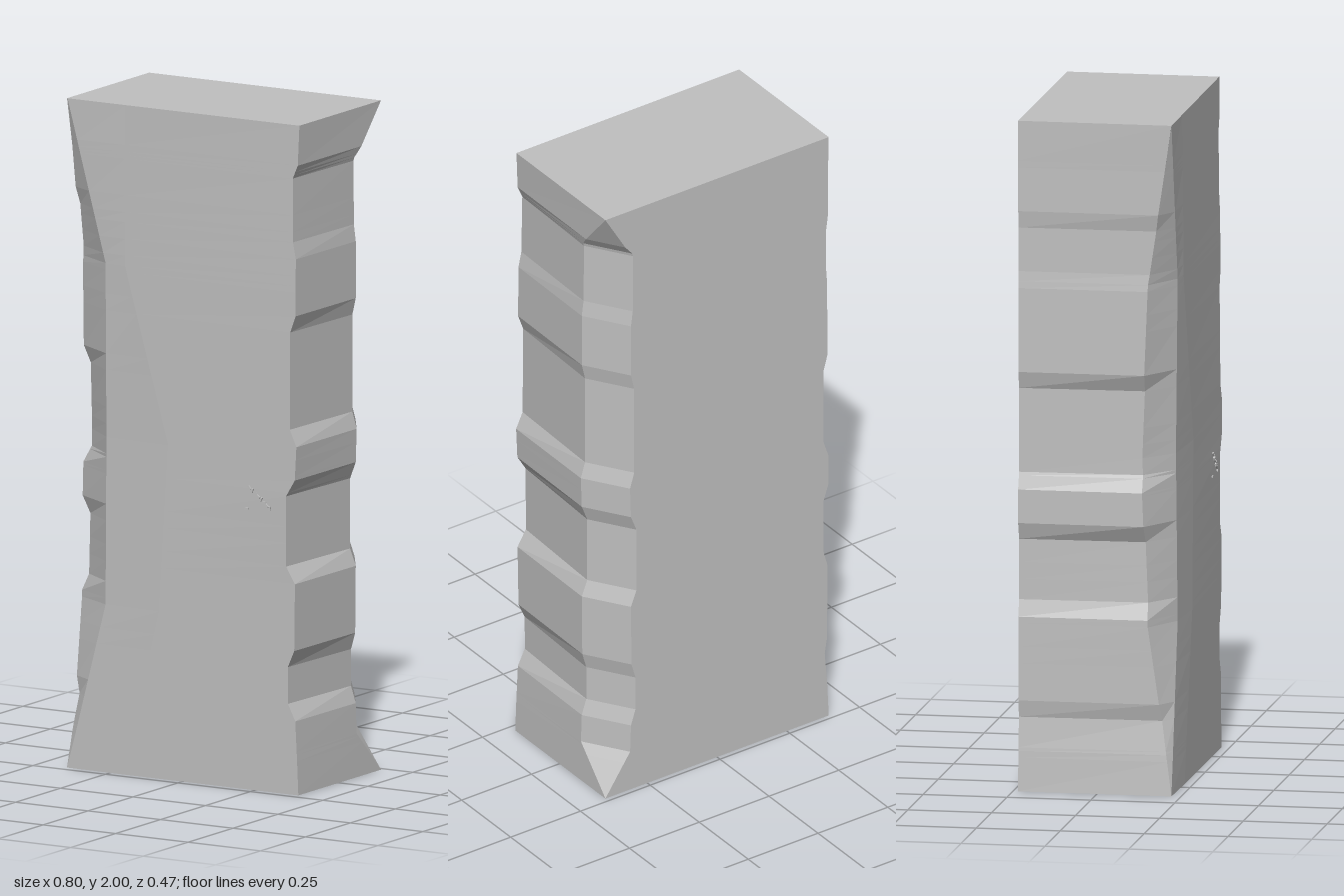
import * as THREE from 'three';

// Piecewise linear value along the height; keys are [y, value] pairs
function at(keys, y) {
  for (let i = 1; i < keys.length; i++) {
    const [y0, a] = keys[i - 1], [y1, b] = keys[i];
    if (y <= y1) return a + (b - a) * (y - y0) / (y1 - y0);
  }
  return keys[keys.length - 1][1];
}

// Worn, notched outline of the two narrow sides
const rightEdge = [[0, .4], [.1, .396], [.22, .39], [.27, .365], [.38, .365], [.43, .387], [.63, .39],
  [.68, .36], [.89, .36], [.94, .39], [1.04, .395], [1.09, .372], [1.38, .372], [1.43, .39],
  [1.6, .39], [1.65, .38], [1.84, .378], [1.88, .395], [2, .4]];
const leftEdge = [[0, .4], [.12, .39], [.22, .376], [.27, .39], [.52, .393], [.57, .37], [.75, .37],
  [.8, .398], [.9, .398], [.95, .37], [1.2, .37], [1.25, .393], [1.5, .39], [1.55, .384],
  [1.68, .384], [1.73, .395], [1.86, .395], [2, .4]];

// Hollowed front left corner and the gentle facets of the front face
const cornerZ = [[0, .222], [.5, .15], [1, .13], [1.52, .15], [2, .222]];
const creaseX = [[0, -.398], [.5, -.27], [1.52, -.27], [2, -.398]];
const creaseZ = [[0, .222], [.5, .217], [1, .212], [1.52, .217], [2, .222]];
const middleX = [[0, -.2], [.5, -.08], [1, -.05], [1.52, -.2], [2, -.2]];
const middleZ = [[0, .225], [.5, .226], [1, .224], [1.52, .222], [2, .219]];
const frontZ = [[0, .225], [.9, .229], [1.5, .224], [2, .219]];

// Long chamfer on the back right corner, running out at both ends
const chamfer = [[0, 0], [.13, 1], [1.85, 1], [2, 0]];
const BACK = -.235;

function section(y) {
  const r = at(rightEdge, y), l = at(leftEdge, y), c = at(chamfer, y);
  const rBack = r + (.4 - r) * .35, lBack = l + (.4 - l) * .4;
  return [
    [-l, at(cornerZ, y)],
    [at(creaseX, y), at(creaseZ, y)],
    [at(middleX, y), at(middleZ, y)],
    [r, at(frontZ, y)],
    [rBack, BACK + .13 * c],
    [rBack - .085 * c, BACK],
    [-lBack, BACK],
  ].map(([x, z]) => [x, y, z]);
}

function blockGeometry() {
  const ys = [...new Set([rightEdge, leftEdge, cornerZ, chamfer].flat().map(k => k[0]))].sort((a, b) => a - b);
  const rings = ys.map(section);
  const n = rings[0].length, pos = [], idx = [];
  rings.forEach(ring => ring.forEach(p => pos.push(...p)));
  for (let k = 0; k < rings.length - 1; k++) {
    for (let i = 0; i < n; i++) {
      const a = k * n + i, b = k * n + (i + 1) % n;
      idx.push(a, b, b + n, a, b + n, a + n);
    }
  }
  // End caps
  const top = (rings.length - 1) * n;
  for (let i = 1; i < n - 1; i++) idx.push(0, i + 1, i, top, top + i, top + i + 1);
  const g = new THREE.BufferGeometry();
  g.setAttribute('position', new THREE.Float32BufferAttribute(pos, 3));
  g.setIndex(idx);
  const flat = g.toNonIndexed();
  flat.computeVertexNormals();
  return flat;
}

export function createModel() {
  const group = new THREE.Group();
  group.name = 'stonePillar';
  const stone = new THREE.MeshStandardMaterial({ color: 0xc0c0c0 });
  stone.name = 'grey stone';
  stone.flatShading = true;

  const block = new THREE.Mesh(blockGeometry(), stone);
  block.name = 'pillarBlock';
  group.add(block);

  // Small cluster of surface chips on the front face
  const chips = new THREE.Group();
  chips.name = 'surfaceChips';
  for (let i = 0; i < 9; i++) {
    const chip = new THREE.Mesh(new THREE.BoxGeometry(.014, .005, .004), stone);
    chip.name = 'chip';
    chip.position.set(.225 + (i * 5 % 9) * .01, .84 + (i * 4 % 9) * .008, .231);
    chip.rotation.z = i * 1.1;
    chips.add(chip);
  }
  group.add(chips);
  return group;
}
